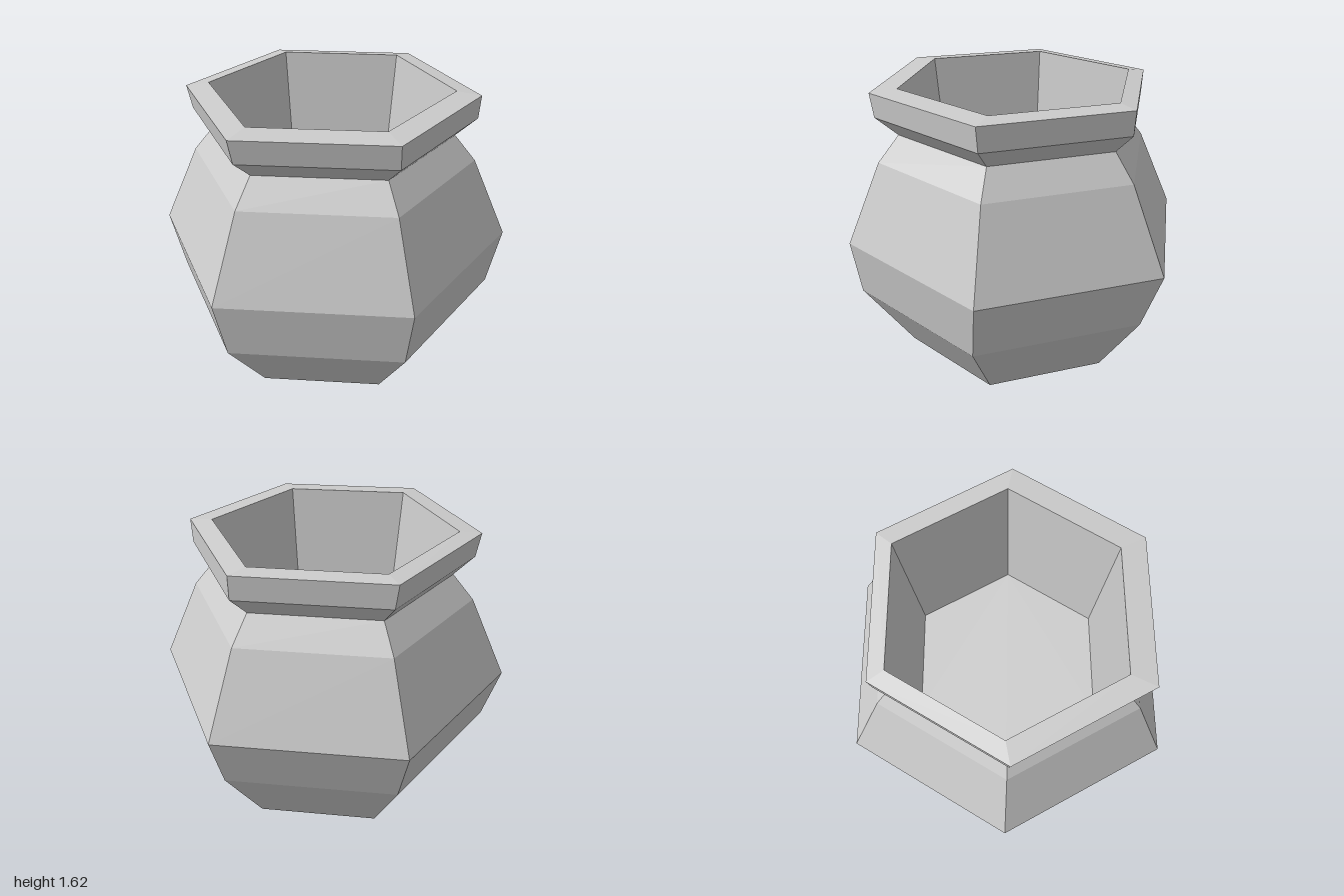
import * as THREE from 'three';

// Slightly uneven six-sided outline (x, z) at the widest part of the pot
const OUTLINE = [[1, 0.26], [0.27, 0.985], [-0.74, 0.75], [-1, -0.25], [-0.28, -0.985], [0.73, -0.74]];
const N = OUTLINE.length;

// Rings are [height, scale, x shift, z shift], listed from the outside bottom upward and over the lip
const BODY = [
  [0, 0.655, 0, 0.02],
  [0.405, 0.92, 0, 0.035],
  [0.735, 1, 0, 0],
  [1.21, 0.79, 0, 0.01],
  [1.36, 0.67, 0, 0.01],
];
const RIM = [
  [1.36, 0.67, 0, 0.01],
  [1.47, 0.78, 0, 0.02],
  [1.605, 0.795, -0.01, 0.025],
  [1.618, 0.67, -0.01, 0],
];
const INSIDE = [
  [1.618, 0.67, -0.01, 0],
  [0.8, 0.572, -0.01, 0.005],
];

// Skin neighbouring rings with triangles, optionally closing the first or last ring
function loft(rings, { base = false, floor = false } = {}) {
  const pts = rings.map(([y, s, dx, dz]) => OUTLINE.map(([x, z]) => [x * s + dx, y, z * s + dz]));
  const out = [];
  const tri = (...corners) => corners.forEach((p) => out.push(...p));

  for (let r = 0; r < pts.length - 1; r++) {
    const lower = pts[r], upper = pts[r + 1];
    for (let i = 0; i < N; i++) {
      const j = (i + 1) % N;
      tri(lower[j], lower[i], upper[i]);
      tri(lower[j], upper[i], upper[j]);
    }
  }
  const first = pts[0], last = pts[pts.length - 1];
  for (let i = 1; i < N - 1; i++) {
    if (base) tri(first[0], first[i], first[i + 1]);
    if (floor) tri(last[0], last[i + 1], last[i]);
  }

  const geometry = new THREE.BufferGeometry();
  geometry.setAttribute('position', new THREE.Float32BufferAttribute(out, 3));
  geometry.computeVertexNormals(); // unshared corners keep the facets flat
  return geometry;
}

export function createModel() {
  const clay = new THREE.MeshStandardMaterial({ color: 0xcccccc });
  clay.name = 'grey clay';

  const pot = new THREE.Group();
  pot.name = 'pot';
  const add = (name, geometry) => {
    const mesh = new THREE.Mesh(geometry, clay);
    mesh.name = name;
    pot.add(mesh);
  };

  // Faceted belly with a closed base
  add('body', loft(BODY, { base: true }));
  // Flared lip above the neck
  add('rim', loft(RIM));
  // Tapered hollow with a flat floor
  add('inside', loft(INSIDE, { floor: true }));

  return pot;
}
